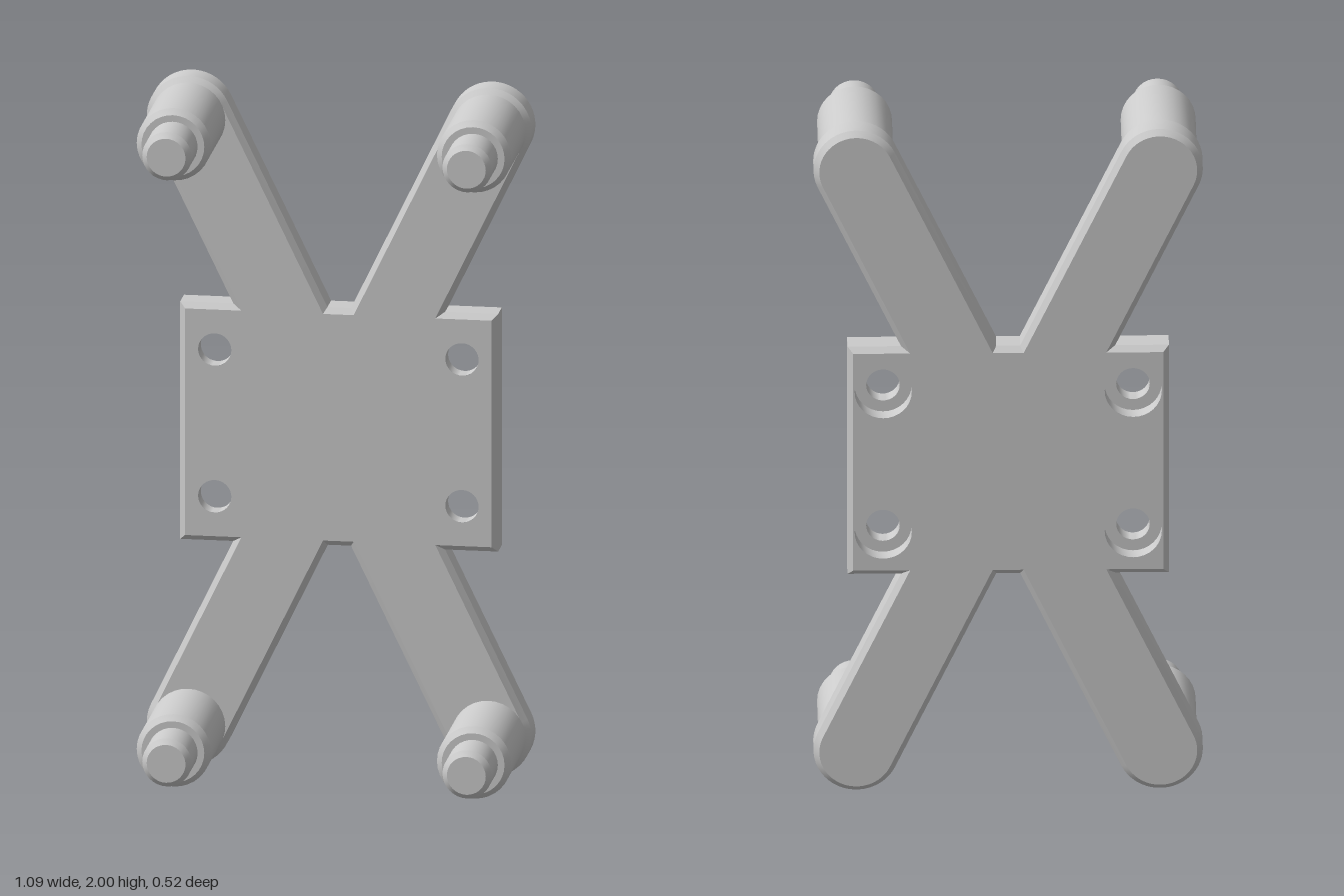
import * as THREE from 'three';
import { toCreasedNormals } from 'three/addons/utils/BufferGeometryUtils.js';

const BACK = -0.258, FRONT = -0.157, CHAMFER = 0.016;
const POST_X = 0.425, POST_Y = 0.88; // post centres, measured from the plate centre
const HOLE_X = 0.35, HOLE_Y = 0.213, HOLE_R = 0.047, BORE_R = 0.08;
const QUADRANTS = [[1, 1], [-1, 1], [-1, -1], [1, -1]];

const material = new THREE.MeshStandardMaterial({ color: 0xcccccc });

function addMesh(parent, name, geometry, x = 0, y = 0) {
  const mesh = new THREE.Mesh(geometry, material);
  mesh.name = name;
  mesh.position.set(x, y, 0);
  parent.add(mesh);
}

// Counter-clockwise outline of the plate with its four round-ended arms, moved inwards by d
function outline(d) {
  const w = 0.45 - d, h = 0.345 - d, r = 0.12 - d;
  const a = Math.atan2(POST_Y, POST_X);
  const rootX = (side) => h / Math.tan(a) + side * r / Math.sin(a);
  const quarter = [[w, h], [rootX(1), h]];
  for (let i = 0; i <= 24; i++) {
    const t = a - Math.PI / 2 + Math.PI * i / 24;
    quarter.push([POST_X + r * Math.cos(t), POST_Y + r * Math.sin(t)]);
  }
  quarter.push([rootX(-1), h]);
  const half = [...quarter, ...quarter.map(([x, y]) => [-x, y]).reverse()];
  return [...half, ...half.map(([x, y]) => [-x, -y])].map(([x, y]) => new THREE.Vector2(x, y));
}

// Flat face of the plate with four round openings
function face(radius) {
  const shape = new THREE.Shape(outline(CHAMFER));
  for (const [sx, sy] of QUADRANTS) {
    const hole = new THREE.Path();
    hole.absarc(sx * HOLE_X, sy * HOLE_Y, radius, 0, Math.PI * 2, true);
    shape.holes.push(hole);
  }
  return new THREE.ShapeGeometry(shape, 32);
}

// Side wall with a chamfer along both rims
function wall() {
  const rings = [
    [CHAMFER, BACK], [0, BACK + CHAMFER], [0, FRONT - CHAMFER], [CHAMFER, FRONT],
  ].map(([d, z]) => outline(d).map((p) => [p.x, p.y, z]));
  const positions = [];
  for (let k = 0; k < rings.length - 1; k++) {
    const lower = rings[k], upper = rings[k + 1];
    for (let i = 0; i < lower.length; i++) {
      const j = (i + 1) % lower.length;
      positions.push(...lower[i], ...lower[j], ...upper[j], ...lower[i], ...upper[j], ...upper[i]);
    }
  }
  const geometry = new THREE.BufferGeometry();
  geometry.setAttribute('position', new THREE.Float32BufferAttribute(positions, 3));
  geometry.computeVertexNormals();
  return toCreasedNormals(geometry, 0.4);
}

// Turned part along z, from [radius, z] pairs
function turned(profile) {
  const points = profile.map(([r, z]) => new THREE.Vector2(r, z));
  return toCreasedNormals(new THREE.LatheGeometry(points, 32).rotateX(Math.PI / 2), 0.4);
}

export function createModel() {
  const model = new THREE.Group();
  model.name = 'mountingBracket';

  // Plate and arms
  const plate = new THREE.Group();
  plate.name = 'plate';
  plate.position.y = 1;
  model.add(plate);
  addMesh(plate, 'plateFront', face(HOLE_R).translate(0, 0, FRONT));
  addMesh(plate, 'plateBack', face(BORE_R).rotateY(Math.PI).translate(0, 0, BACK));
  addMesh(plate, 'plateEdge', wall());

  // Screw holes, counterbored from the back
  const middle = (FRONT + BACK) / 2;
  const holeGeometry = turned([[HOLE_R, FRONT], [HOLE_R, middle], [BORE_R, middle], [BORE_R, BACK]]);

  // Stepped post with a chamfered shoulder and pin
  const postGeometry = turned([
    [0.105, FRONT - 0.005], [0.105, 0.114], [0.089, 0.131], [0.07, 0.131],
    [0.07, 0.242], [0.055, 0.258], [0, 0.258],
  ]);

  for (const [sx, sy] of QUADRANTS) {
    const place = (sy > 0 ? 'Upper' : 'Lower') + (sx > 0 ? 'Left' : 'Right');
    addMesh(plate, 'screwHole' + place, holeGeometry, sx * HOLE_X, sy * HOLE_Y);
    addMesh(plate, 'post' + place, postGeometry, sx * POST_X, sy * POST_Y);
  }
  return model;
}
